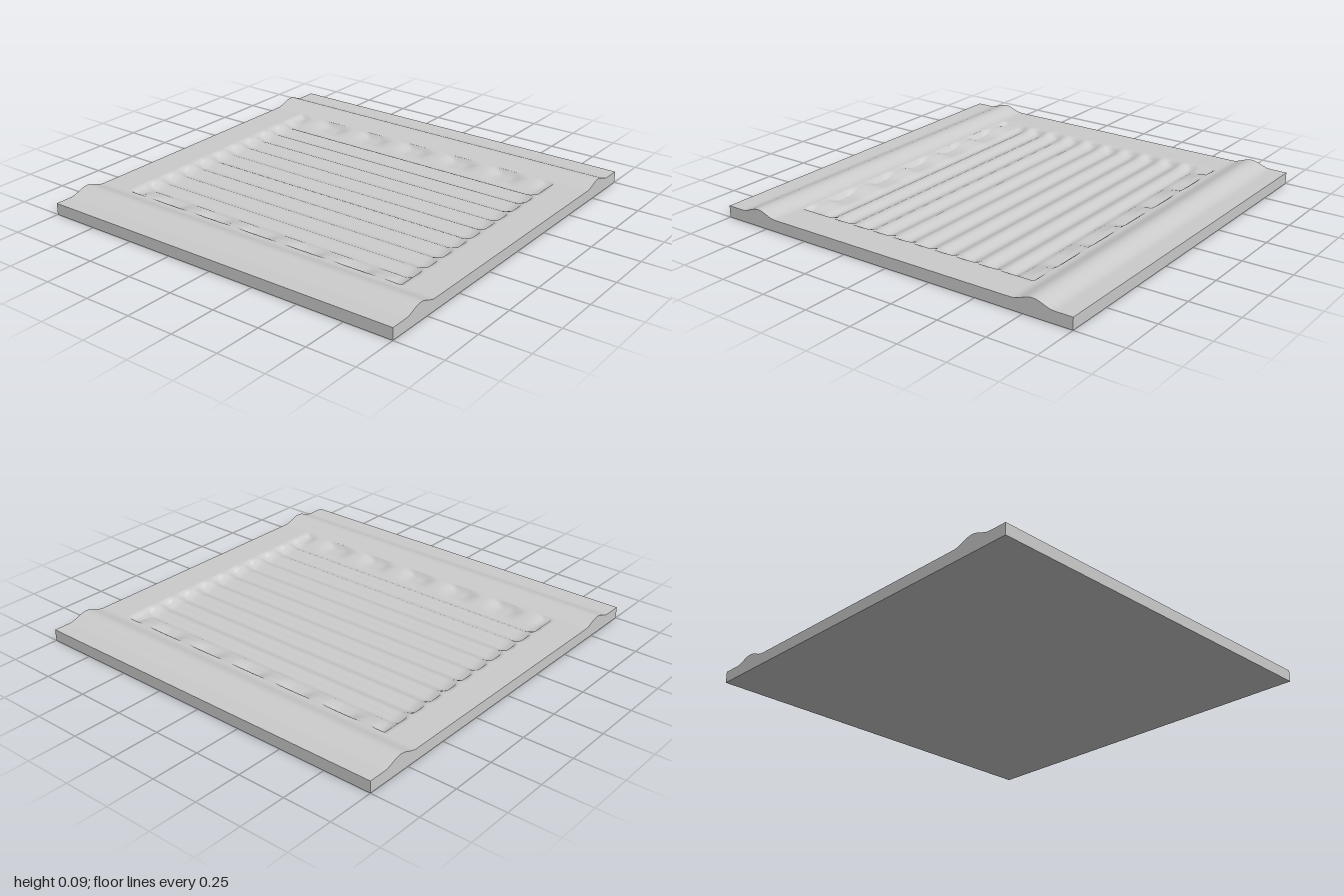
import * as THREE from 'three';

const RIM = 0.06, FLOOR = 0.036, HALF_X = 0.68, HALF_Z = 0.82;
const smooth = THREE.MathUtils.smoothstep;

// Grid lines from -1 to 1, with extra ones at the steep walls of the bed
function gridLines(steps, wall) {
  const lines = [wall, wall - 0.012, -wall, -wall + 0.012];
  for (let i = 0; i <= steps; i++) {
    const v = -1 + (2 * i) / steps;
    if (Math.abs(Math.abs(v) - wall + 0.006) > 0.012) lines.push(v);
  }
  return lines.sort((a, b) => a - b);
}

// Long rounded bank on each side of the bed
function bank(x) {
  const d = (Math.abs(x) - 0.8) / 0.11;
  return Math.abs(d) < 1 ? 0.014 * (1 + Math.cos(Math.PI * d)) : 0;
}

// Sunken bed: furrows along z, sloped ends and a row of small mounds per side
function bedHeight(x, z) {
  const ax = Math.abs(x), az = Math.abs(z);
  const furrow = 0.009 * Math.cos((x / 0.123) * Math.PI * 2) * (1 - smooth(ax, 0.54, 0.6));
  const endSlope = 0.014 * smooth(az, 0.76, HALF_Z);
  const nearest = THREE.MathUtils.clamp(Math.round((z + 0.7) / 0.28), 0, 5) * 0.28 - 0.7;
  const spread = Math.max(0, 1 - Math.abs(z - nearest) / 0.1);
  const mound = 0.02 * Math.min(1, spread * 1.5) * THREE.MathUtils.clamp((ax - 0.56) / 0.09, 0, 1);
  return FLOOR + furrow + Math.max(endSlope, mound);
}

function surfaceHeight(x, z) {
  const inside = Math.abs(x) < HALF_X - 0.001 && Math.abs(z) < HALF_Z - 0.001;
  return inside ? bedHeight(x, z) : RIM + bank(x);
}

export function createModel() {
  const xs = gridLines(160, HALF_X), zs = gridLines(100, HALF_Z);
  const nx = xs.length - 1, nz = zs.length - 1;

  // Slab whose top side is shaped by the height rule
  const geometry = new THREE.BoxGeometry(2, 2, 2, nx, 1, nz);
  const p = geometry.attributes.position;
  for (let i = 0; i < p.count; i++) {
    const x = xs[Math.round(((p.getX(i) + 1) / 2) * nx)];
    const z = zs[Math.round(((p.getZ(i) + 1) / 2) * nz)];
    p.setXYZ(i, x, p.getY(i) > 0 ? surfaceHeight(x, z) : 0, z);
  }
  geometry.computeVertexNormals();

  const field = new THREE.Mesh(geometry, new THREE.MeshStandardMaterial({ color: 0xcccccc }));
  field.name = 'furrowedGroundTile';
  const group = new THREE.Group();
  group.name = 'groundTile';
  group.add(field);
  return group;
}
